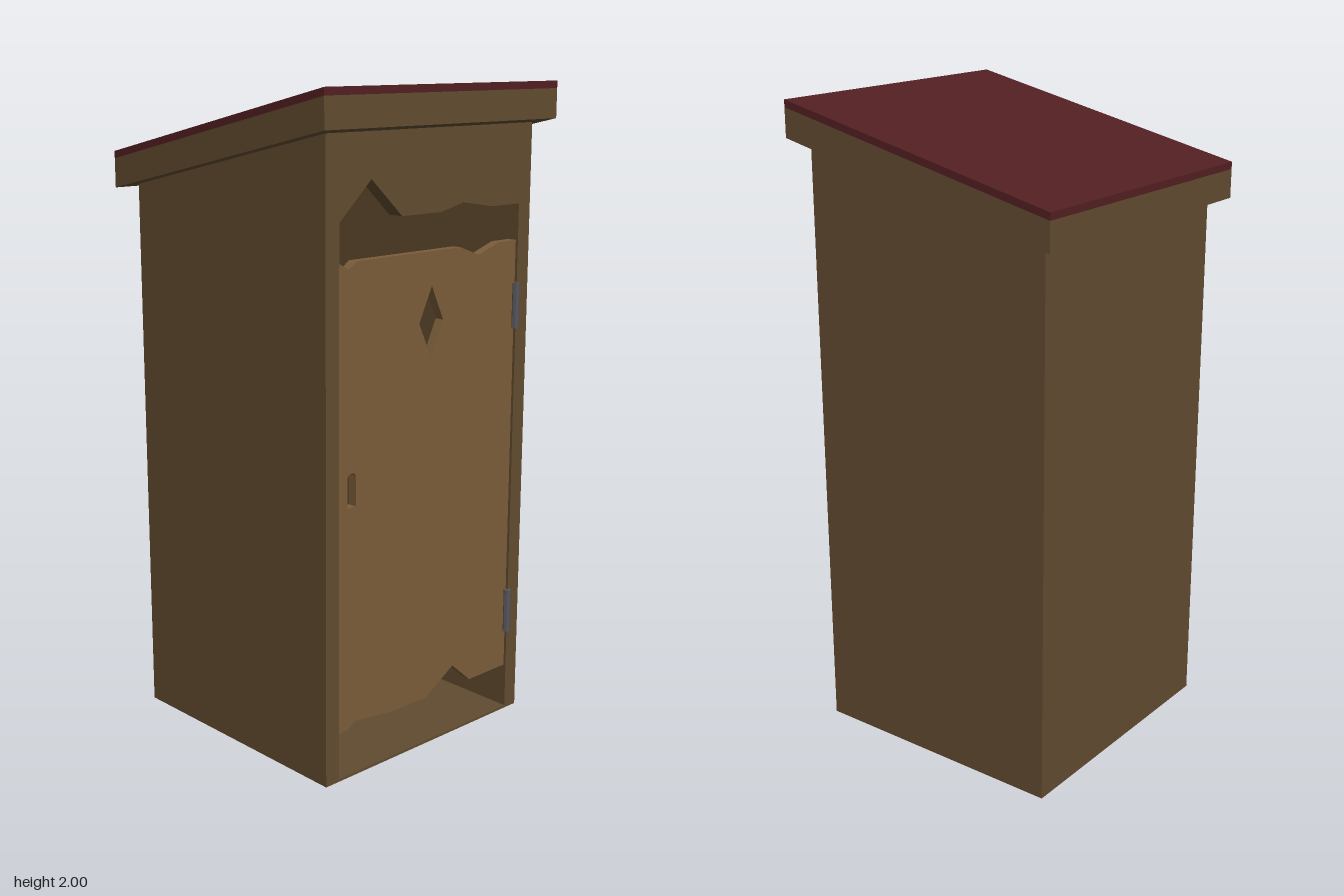
import * as THREE from 'three';

const mat = (color, side = THREE.FrontSide) =>
  new THREE.MeshStandardMaterial({ color, side, flatShading: true });

const OUT = 0.42, IN = 0.37, SLOPE = 0.2234;
const eave = z => 1.785 + SLOPE * z;      // underside of the roof
const ceil = z => 1.723 + SLOPE * z;      // inner ceiling

export function createModel() {
  const group = new THREE.Group();
  const wood = mat(0x614b30);
  const boards = mat(0x614b30, THREE.DoubleSide);
  const doorWood = mat(0x7a5c39);
  const red = mat(0x521f22);
  const metal = mat(0x55555a);

  const add = (name, geometry, material, x = 0, y = 0, z = 0) => {
    const mesh = new THREE.Mesh(geometry, material);
    mesh.name = name;
    mesh.position.set(x, y, z);
    group.add(mesh);
    return mesh;
  };
  const outline = pts => new THREE.Shape(pts.map(p => new THREE.Vector2(...p)));
  const extrude = (shape, depth) =>
    new THREE.ExtrudeGeometry(shape, { depth, bevelEnabled: false });

  // Four-cornered board, corners counter-clockwise from its front
  const panel = (name, corners) => {
    const g = new THREE.BufferGeometry();
    g.setAttribute('position', new THREE.Float32BufferAttribute(corners.flat(), 3));
    g.setIndex([0, 1, 2, 0, 2, 3]);
    g.computeVertexNormals();
    add(name, g, boards);
  };

  // Outer and inner skins of the side walls, open at the bottom
  for (const s of [1, -1]) {
    const side = s > 0 ? 'left' : 'right';
    const skin = (x, back, top) => {
      const c = [[x, 0, IN], [x, 0, back], [x, top(back), back], [x, top(IN), IN]];
      return c;
    };
    const outer = skin(s * OUT, -OUT, eave);
    const inner = skin(s * IN, -IN, ceil);
    panel(side + 'WallOutside', s > 0 ? outer : outer.reverse());
    panel(side + 'WallInside', s > 0 ? inner.reverse() : inner);
  }

  // Back wall skins and sloping ceiling
  panel('backWallOutside', [
    [OUT, 0, -OUT], [-OUT, 0, -OUT], [-OUT, eave(-OUT), -OUT], [OUT, eave(-OUT), -OUT]]);
  panel('backWallInside', [
    [-IN, 0, -IN], [IN, 0, -IN], [IN, ceil(-IN), -IN], [-IN, ceil(-IN), -IN]]);
  panel('ceiling', [
    [-IN, ceil(-IN), -IN], [IN, ceil(-IN), -IN], [IN, ceil(IN), IN], [-IN, ceil(IN), IN]]);

  // Front wall with a ragged-topped doorway
  const front = outline([
    [-OUT, 0], [-IN, 0], [-IN, 1.64], [-0.25, 1.75], [-0.13, 1.64], [0.03, 1.64],
    [0.12, 1.66], [0.25, 1.64], [IN, 1.64], [IN, 0], [OUT, 0], [OUT, 1.88], [-OUT, 1.88]]);
  add('frontWall', extrude(front, OUT - IN), wood, 0, 0, IN);

  // Floor and bench
  add('floor', new THREE.BoxGeometry(2 * IN, 0.008, IN + OUT), wood, 0, 0.004, (OUT - IN) / 2);
  add('bench', new THREE.BoxGeometry(2 * IN + 0.004, 0.375, 0.372), mat(0xcccccc), 0, 0.1925, -0.186);

  // Worn door with a diamond window and a slot for a handle
  const w = 0.366;
  const door = outline([
    [-w, 0.15], [-0.33, 0.15], [-0.3, 0.17], [-0.14, 0.15], [0, 0.15], [0.12, 0.22],
    [0.2, 0.15], [w, 0.15], [w, 1.53], [0.29, 1.53], [0.2, 1.5], [0.12, 1.53],
    [-0.3, 1.53], [-0.33, 1.51], [-w, 1.53]]);
  door.holes.push(
    outline([[0, 1.22], [-0.05, 1.325], [0, 1.43], [0.05, 1.325]]),
    outline([[-0.333, 0.83], [-0.333, 0.92], [-0.324, 0.93], [-0.308, 0.93],
      [-0.299, 0.92], [-0.299, 0.83]]));
  add('door', extrude(door, 0.03), doorWood, 0, 0, 0.385);

  // Hinges
  for (const y of [0.34, 1.33])
    add('hinge', new THREE.CylinderGeometry(0.013, 0.013, 0.14, 8), metal, 0.368, y, 0.419);

  // Sloping roof: board layer with a thin red cover
  const slab = (name, height, yTop, material) => {
    const g = new THREE.BoxGeometry(0.94, height, 0.94);
    const p = g.attributes.position;
    for (let i = 0; i < p.count; i++) p.setY(i, p.getY(i) + SLOPE * p.getZ(i));
    g.computeVertexNormals();
    add(name, g, material, 0, yTop - height / 2, 0);
  };
  slab('roofBoards', 0.088, 1.873, wood);
  slab('roofCover', 0.022, 1.895, red);

  return group;
}
